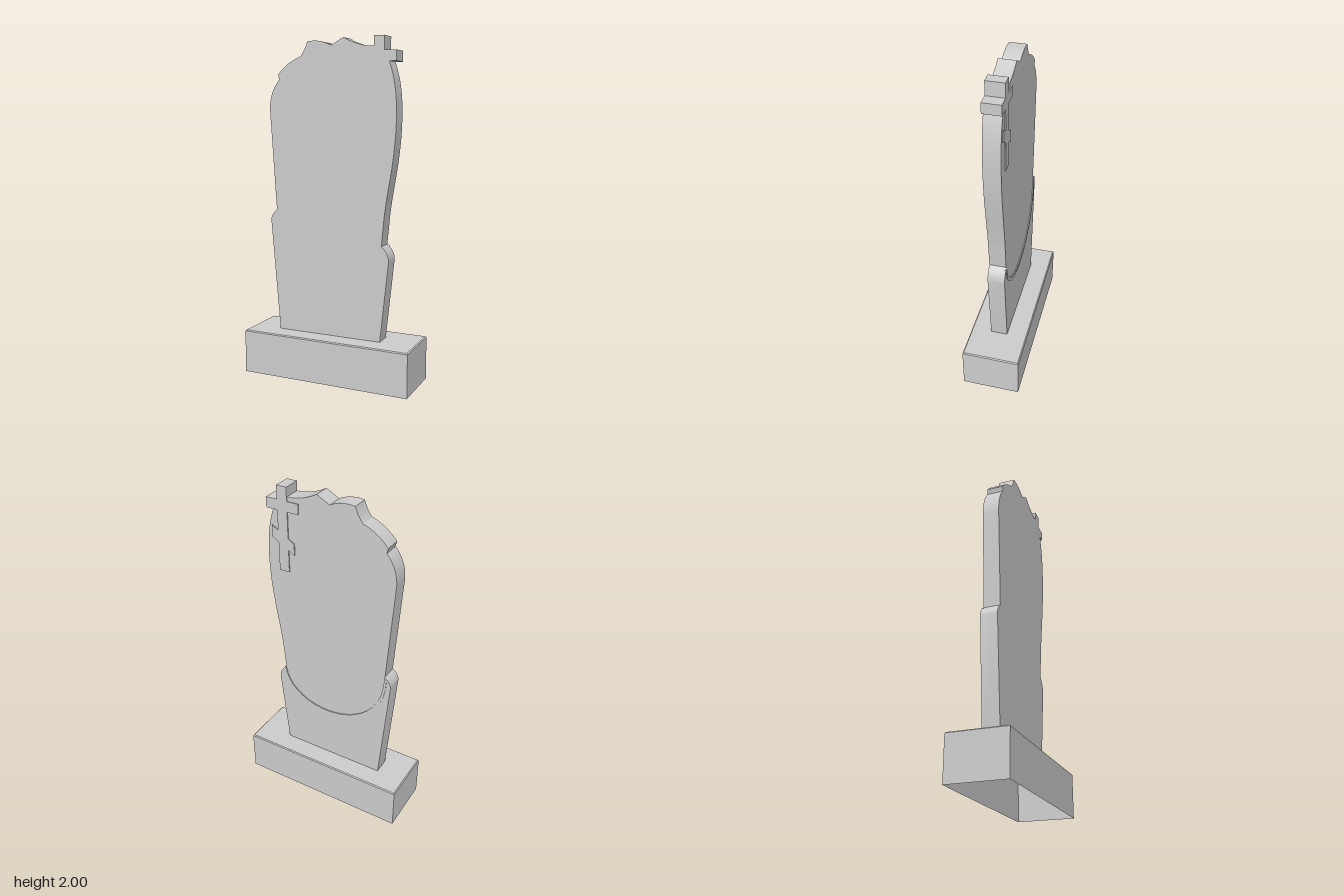
import * as THREE from 'three';
import { toCreasedNormals } from 'three/addons/utils/BufferGeometryUtils.js';

const material = new THREE.MeshStandardMaterial({ color: 0xcccccc, side: THREE.DoubleSide });

// Extrudes a flat outline between two z values.
function plate(name, shape, zBack, zFront) {
  const geometry = new THREE.ExtrudeGeometry(shape, {
    depth: zFront - zBack, bevelEnabled: false, curveSegments: 20,
  });
  geometry.translate(0, 0, zBack);
  const mesh = new THREE.Mesh(toCreasedNormals(geometry, 0.4), material);
  mesh.name = name;
  return mesh;
}

// Rectangular plinth with a narrow chamfer round the top and an open underside.
function plinth(halfX, halfZ, height, chamfer) {
  const ring = (inset, y) => [[-1, 1], [1, 1], [1, -1], [-1, -1]]
    .map(([sx, sz]) => [sx * (halfX - inset), y, sz * (halfZ - inset)]);
  const rings = [ring(0, 0), ring(0, height - chamfer), ring(chamfer, height)];
  const positions = [];
  const quad = (a, b, c, d) => positions.push(...a, ...b, ...c, ...a, ...c, ...d);
  for (let r = 0; r < 2; r++) {
    for (let i = 0; i < 4; i++) {
      const j = (i + 1) % 4;
      quad(rings[r][i], rings[r][j], rings[r + 1][j], rings[r + 1][i]);
    }
  }
  quad(...rings[2]);
  const geometry = new THREE.BufferGeometry();
  geometry.setAttribute('position', new THREE.Float32BufferAttribute(positions, 3));
  geometry.computeVertexNormals();
  const mesh = new THREE.Mesh(geometry, material);
  mesh.name = 'plinth';
  return mesh;
}

// Lower left edge up to its notch.
function lowerLeft(s) {
  s.moveTo(0.31, 0.26);
  s.lineTo(-0.343, 0.26);
  s.lineTo(-0.4, 0.94);
  s.quadraticCurveTo(-0.395, 0.975, -0.36, 1.0);
}

// Lower right edge down from its notch.
function lowerRight(s) {
  s.bezierCurveTo(0.345, 0.8, 0.36, 0.77, 0.36, 0.74);
  s.lineTo(0.31, 0.26);
}

function slabShape() {
  const s = new THREE.Shape();
  lowerLeft(s);
  s.lineTo(-0.4, 1.6);
  s.bezierCurveTo(-0.4, 1.67, -0.375, 1.73, -0.335, 1.77);
  s.lineTo(-0.342, 1.8);
  s.quadraticCurveTo(-0.285, 1.87, -0.195, 1.9);
  s.quadraticCurveTo(-0.165, 1.935, -0.15, 1.983);
  s.quadraticCurveTo(-0.07, 1.995, 0, 1.957);
  s.lineTo(0.077, 1.998);
  s.quadraticCurveTo(0.17, 1.945, 0.26, 1.945);
  // upper arms of the cross break the outline
  for (const [x, y] of [[0.26, 2], [0.323, 2], [0.323, 1.92], [0.393, 1.92], [0.393, 1.86], [0.352, 1.86]]) {
    s.lineTo(x, y);
  }
  s.bezierCurveTo(0.385, 1.77, 0.397, 1.68, 0.397, 1.57);
  s.bezierCurveTo(0.397, 1.33, 0.35, 1.17, 0.33, 0.99);
  s.lineTo(0.315, 0.825);
  lowerRight(s);
  return s;
}

// Lower back panel, topped by a sagging arc between the two notches.
function panelShape() {
  const s = new THREE.Shape();
  lowerLeft(s);
  s.bezierCurveTo(-0.36, 0.5, 0.28, 0.5, 0.315, 0.825);
  lowerRight(s);
  return s;
}

// Narrow rim that follows the arc.
function rimShape() {
  const s = new THREE.Shape();
  s.moveTo(-0.36, 1.0);
  s.bezierCurveTo(-0.36, 0.5, 0.28, 0.5, 0.315, 0.825);
  s.lineTo(0.328, 0.815);
  s.bezierCurveTo(0.295, 0.475, -0.375, 0.475, -0.374, 0.99);
  return s;
}

// Three-armed cross with a slanted lower bar.
function crossShape() {
  return new THREE.Shape([
    [0.26, 2], [0.323, 2], [0.323, 1.92], [0.393, 1.92], [0.393, 1.86], [0.323, 1.86],
    [0.323, 1.74], [0.363, 1.765], [0.363, 1.695], [0.323, 1.67], [0.323, 1.5],
    [0.26, 1.5], [0.26, 1.635], [0.222, 1.612], [0.222, 1.682], [0.26, 1.705],
    [0.26, 1.86], [0.19, 1.86], [0.19, 1.92], [0.26, 1.92],
  ].map(([x, y]) => new THREE.Vector2(x, y)));
}

export function createModel() {
  const group = new THREE.Group();
  group.name = 'headstone';
  group.add(
    plinth(0.522, 0.173, 0.262, 0.006),
    plate('slab', slabShape(), -0.047, 0.051),
    plate('lowerBackPanel', panelShape(), -0.05, -0.04),
    plate('panelRim', rimShape(), -0.053, -0.04),
    plate('backCross', crossShape(), -0.053, -0.04),
  );
  return group;
}
